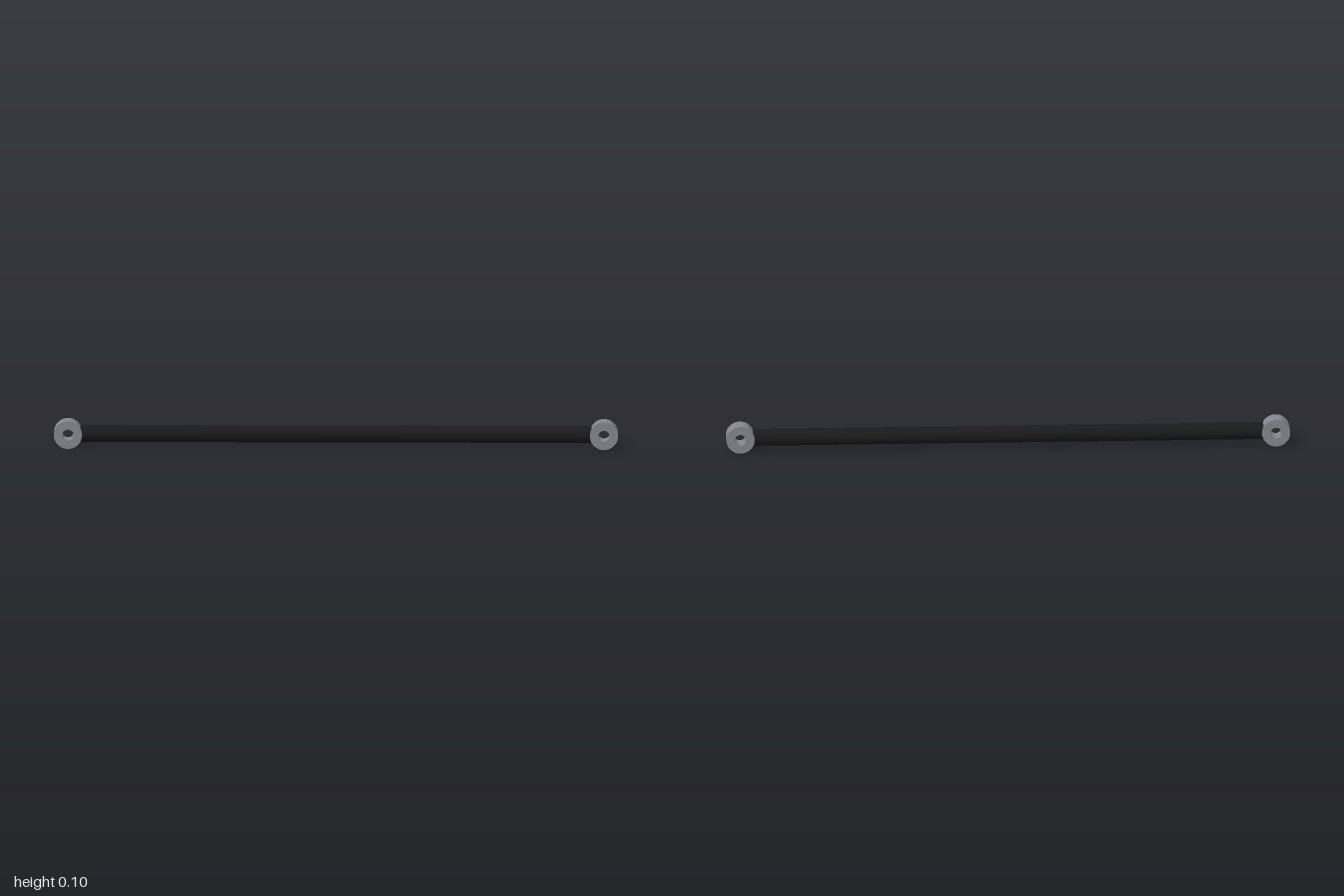
import * as THREE from 'three';
import { toCreasedNormals } from 'three/addons/utils/BufferGeometryUtils.js';

const CENTRE_Y = 0.05;
const EYE = { x: 0.95, outer: 0.05, inner: 0.02, half: 0.03 };

const rodMaterial = new THREE.MeshStandardMaterial({ color: 0x1a1a1a });
const eyeMaterial = new THREE.MeshStandardMaterial({ color: 0x85878f });

// Ring with a square cross-section, its bore running along z
function eyeGeometry() {
  const { outer, inner, half } = EYE;
  const profile = [
    [inner, -half], [outer, -half], [outer, half], [inner, half], [inner, -half],
  ].map(([r, y]) => new THREE.Vector2(r, y));
  const ring = new THREE.LatheGeometry(profile, 48).rotateX(Math.PI / 2);
  return toCreasedNormals(ring, Math.PI / 6);
}

export function createModel() {
  const model = new THREE.Group();
  model.name = 'linkRod';

  // Straight round bar between the two eyes
  const rod = new THREE.Mesh(
    new THREE.CylinderGeometry(0.03, 0.03, 1.81, 32).rotateZ(Math.PI / 2),
    rodMaterial
  );
  rod.name = 'rod';
  rod.position.y = CENTRE_Y;
  model.add(rod);

  // Mounting eye at each end
  const geometry = eyeGeometry();
  for (const side of [-1, 1]) {
    const eye = new THREE.Mesh(geometry, eyeMaterial);
    eye.name = side > 0 ? 'leftEye' : 'rightEye';
    eye.position.set(side * EYE.x, CENTRE_Y, 0);
    model.add(eye);
  }
  return model;
}
